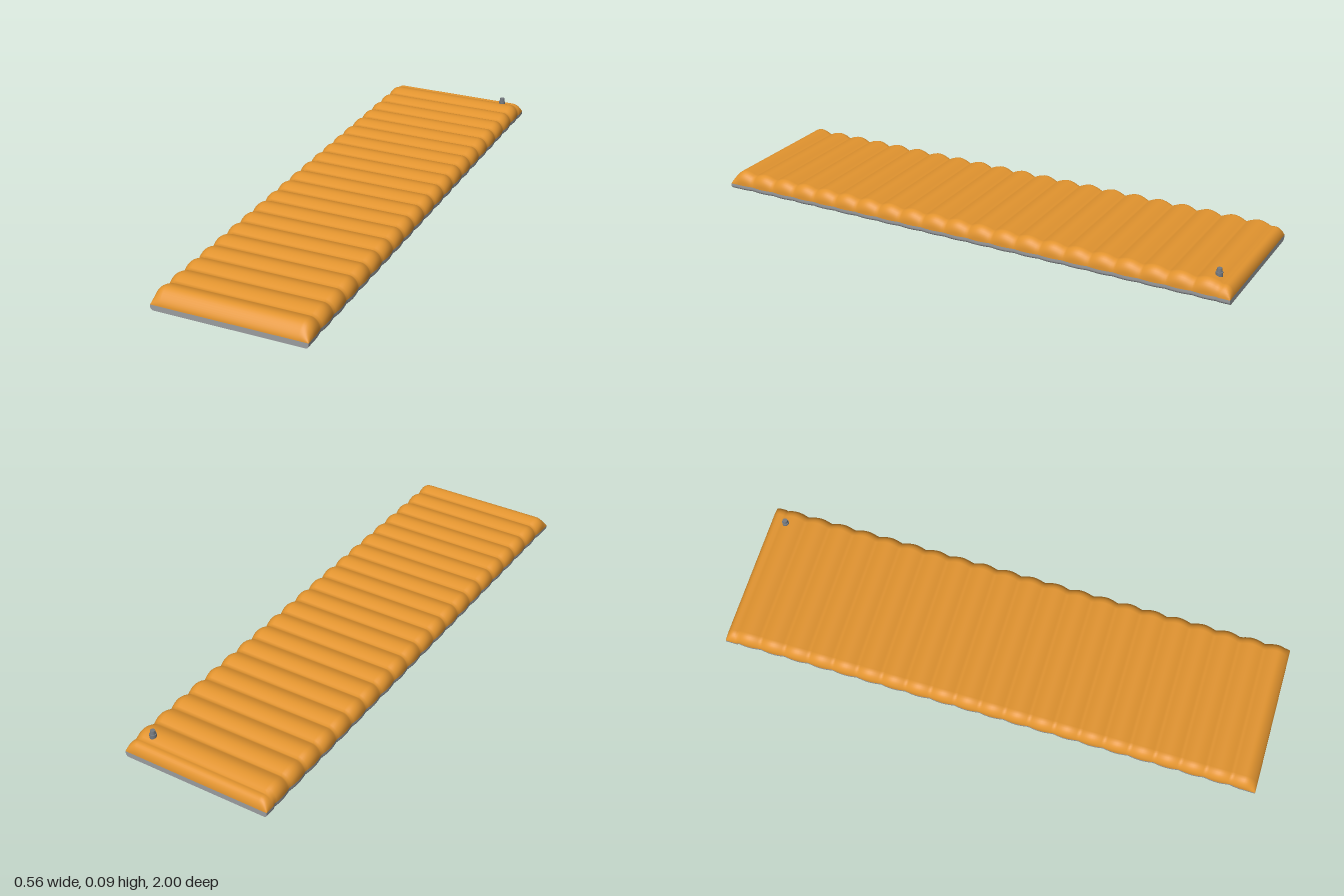
import * as THREE from 'three';

const HALF_W = 0.28, SEAM = 0.02, TOP = 0.071, DIP = 0.014;
const BACK = -0.96, FRONT = 0.905, RIBS = 20, PITCH = (FRONT - BACK) / RIBS;

// 0 in a groove, 1 on the crest of a rib
const rib = z => Math.abs(Math.sin(Math.PI * (z - BACK) / PITCH));

// Height of the padded top, rounded down to the seam at both ends
function topHeight(z) {
  const e = Math.min(1, Math.max(0, (Math.abs(z) - 0.95) / 0.05));
  return SEAM + (TOP - DIP * (1 - rib(z)) - SEAM) * Math.sqrt(1 - e * e);
}
const halfWidth = z => HALF_W - (Math.abs(z) > 0.955 ? 0 : 0.005 * (1 - rib(z)));

// Corner arc from angle a0 to a1
function arc(cx, cy, rx, ry, a0, a1, n = 8) {
  return Array.from({ length: n + 1 }, (_, i) => {
    const a = a0 + (a1 - a0) * i / n;
    return [cx + rx * Math.cos(a), cy + ry * Math.sin(a)];
  });
}

// Right-to-left outline over the top
function upperSection(z) {
  const w = halfWidth(z), h = topHeight(z), r = Math.min(0.04, h - SEAM), q = Math.PI / 2;
  return [[w, SEAM], ...arc(w - 0.036, h - r, 0.036, r, 0, q),
    ...arc(-w + 0.036, h - r, 0.036, r, q, 2 * q), [-w, SEAM]];
}

// Left-to-right outline under the bottom
function lowerSection(z) {
  const w = halfWidth(z), r = 0.012, q = Math.PI / 2;
  return [[-w, SEAM], ...arc(-w + r, r, r, r, 2 * q, 3 * q, 5),
    ...arc(w - r, r, r, r, 3 * q, 4 * q, 5), [w, SEAM]];
}

function loft(section, zs) {
  const pos = [], index = [];
  let n = 0;
  zs.forEach((z, i) => {
    const pts = section(z);
    n = pts.length;
    pts.forEach(([x, y]) => pos.push(x, y, z));
    if (i === 0) return;
    for (let j = 0; j < n - 1; j++) {
      const a = (i - 1) * n + j, d = i * n + j;
      index.push(a, a + 1, d, a + 1, d + 1, d);
    }
  });
  const g = new THREE.BufferGeometry();
  g.setAttribute('position', new THREE.Float32BufferAttribute(pos, 3));
  g.setIndex(index);
  g.computeVertexNormals();
  return g;
}

export function createModel() {
  const orange = new THREE.MeshStandardMaterial({ color: 0xe2942f });
  const grey = new THREE.MeshStandardMaterial({ color: 0x9a9c9f });
  const valveGrey = new THREE.MeshStandardMaterial({ color: 0x757a80 });
  const group = new THREE.Group();
  const add = (name, geo, mat, parent = group) => {
    const m = new THREE.Mesh(geo, mat);
    m.name = name;
    parent.add(m);
    return m;
  };

  // Stations along the length: back end, ribs, front end
  const zs = [];
  for (let i = 0; i < 10; i++) zs.push(-1 + 0.04 * (1 - Math.cos(Math.PI / 2 * i / 10)));
  for (let i = 0; i < RIBS * 10; i++) zs.push(BACK + PITCH * i / 10);
  for (let i = 0; i <= 16; i++) zs.push(FRONT + (1 - FRONT) * Math.sin(Math.PI / 2 * i / 16));

  add('ribbedTop', loft(upperSection, zs), orange);
  add('base', loft(lowerSection, zs), grey);

  // Flat ends of the base
  const endShape = new THREE.Shape(lowerSection(1).map(([x, y]) => new THREE.Vector2(x, y)));
  add('frontEnd', new THREE.ShapeGeometry(endShape), grey).position.z = 1;
  const backEnd = add('backEnd', new THREE.ShapeGeometry(endShape), grey);
  backEnd.position.z = -1;
  backEnd.rotation.y = Math.PI;

  // Air valve
  const valve = new THREE.Group();
  valve.name = 'valve';
  valve.position.set(0.212, 0, -0.935);
  add('valveCollar', new THREE.CylinderGeometry(0.0125, 0.0125, 0.022, 20), valveGrey, valve).position.y = 0.067;
  add('valveStem', new THREE.CylinderGeometry(0.008, 0.008, 0.008, 20), valveGrey, valve).position.y = 0.081;
  add('valveCap', new THREE.CylinderGeometry(0.0085, 0.0098, 0.012, 20), valveGrey, valve).position.y = 0.086;
  group.add(valve);
  return group;
}
